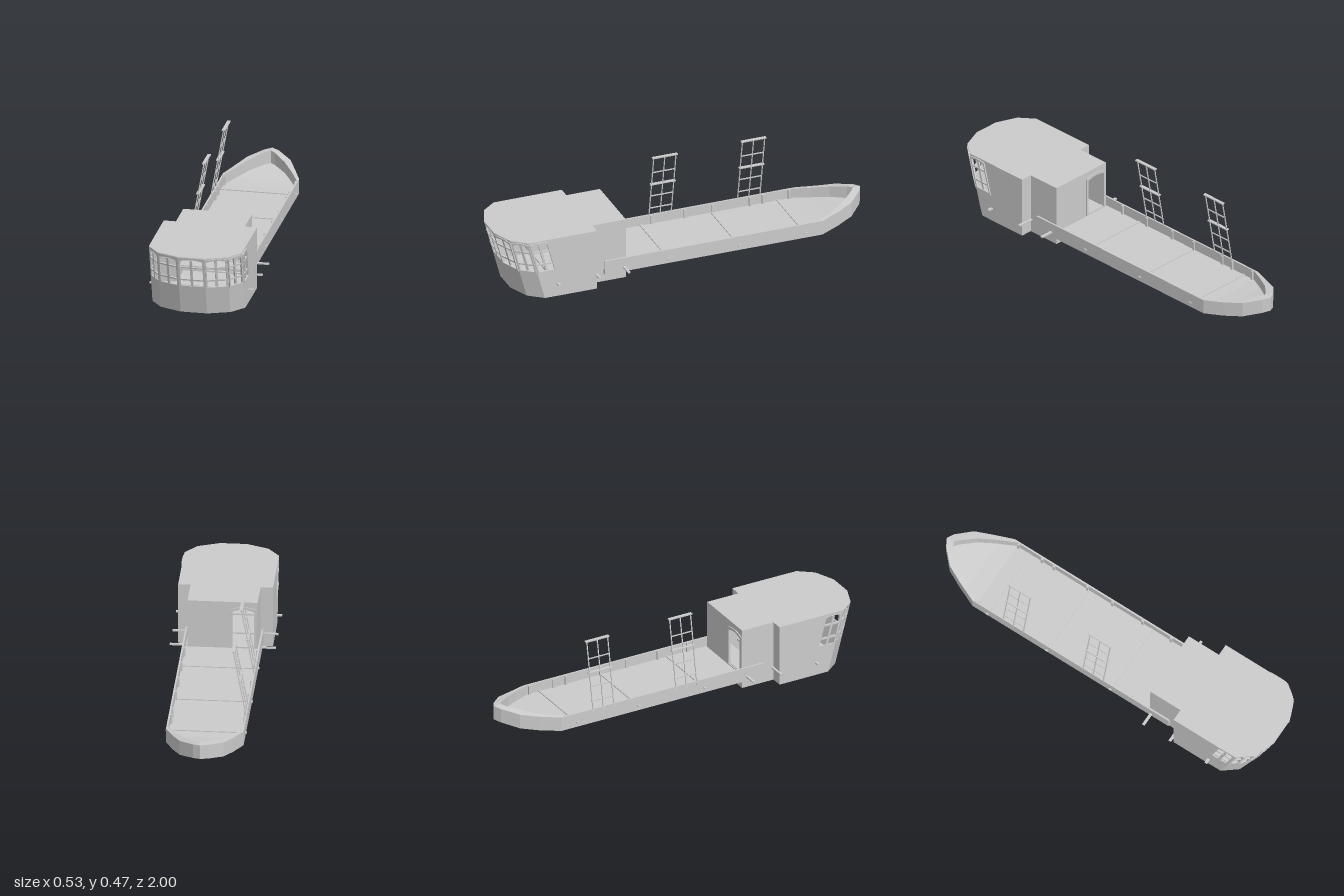
import * as THREE from 'three';

const mat = new THREE.MeshStandardMaterial({ color: 0xcccccc, flatShading: true, side: THREE.DoubleSide });
const H = 0.325;      // cabin height
const LEAN = 0.088;   // how far the front overhangs its foot

// Cabin plan at roof level: [x, z, lean of the foot]; one side, mirrored for the other
const side = [[0.068, 0.997, LEAN], [0.178, 0.953, LEAN], [0.237, 0.878, LEAN], [0.238, 0.775, LEAN],
  [0.238, 0.51, 0], [0.176, 0.51, 0], [0.176, 0.33, 0]];
const plan = [...side, ...side.map(([x, z, l]) => [-x, z, l]).reverse()];

function add(parent, name, geo, x = 0, y = 0, z = 0) {
  const m = new THREE.Mesh(geo, mat);
  m.name = name;
  m.position.set(x, y, z);
  parent.add(m);
  return m;
}

const rect = (u0, u1, v0, v1) => new THREE.Shape([[u0, v0], [u1, v0], [u1, v1], [u0, v1]].map(p => new THREE.Vector2(...p)));

// Opening with a shallow curved head
function arch(u0, u1, v0, v1, rise) {
  const s = new THREE.Shape();
  s.moveTo(u0, v0);
  s.lineTo(u1, v0);
  s.lineTo(u1, v1 - rise);
  s.quadraticCurveTo((u0 + u1) / 2, v1 + rise, u0, v1 - rise);
  s.closePath();
  return s;
}

// Lay a flat shape on the leaning wall between plan points p and q, from depth d0 to d1 (outward)
function plate(p, q, shape, d0, d1) {
  const geo = new THREE.ExtrudeGeometry(shape, { depth: d1 - d0, bevelEnabled: false, curveSegments: 6 });
  const w = Math.hypot(q[0] - p[0], q[1] - p[1]);
  const tx = (q[0] - p[0]) / w, tz = (q[1] - p[1]) / w;
  const pos = geo.attributes.position;
  for (let i = 0; i < pos.count; i++) {
    const u = pos.getX(i), v = pos.getY(i), d = pos.getZ(i) + d0;
    const lean = (p[2] + (q[2] - p[2]) * u / w) * (1 - v / H);
    pos.setXYZ(i, p[0] + tx * u - tz * d, v, p[1] + tz * u + tx * d - lean);
  }
  geo.computeVertexNormals();
  return geo;
}

// Horizontal slab from a plan outline
function slab(points, y, h) {
  const s = new THREE.Shape(points.map(([x, z]) => new THREE.Vector2(x, -z)));
  return new THREE.ExtrudeGeometry(s, { depth: h, bevelEnabled: false }).rotateX(-Math.PI / 2).translate(0, y, 0);
}

function buildCabin() {
  const g = new THREE.Group();
  g.name = 'cabin';
  add(g, 'roof', slab(plan, H - 0.006, 0.006));
  add(g, 'cabinFloor', slab(plan.map(([x, z, l]) => [x, z - l]), 0, 0.005));

  plan.forEach((q, i) => {
    const p = plan[(i + plan.length - 1) % plan.length];
    const w = Math.hypot(q[0] - p[0], q[1] - p[1]);
    const wall = rect(0, w, 0, H);
    const hasWindow = p[2] > 0 && q[2] > 0;
    const isBack = p[1] < 0.4 && q[1] < 0.4;

    if (hasWindow) {
      const a = 0.01, b = w - 0.01, m = w / 2;
      wall.holes.push(arch(a, b, 0.155, 0.31, 0.008));
      // glazing bars
      add(g, 'windowPost', plate(p, q, rect(m - 0.006, m + 0.006, 0.157, 0.308), -0.008, 0.002));
      for (const v of [0.193, 0.264])
        add(g, 'windowRail', plate(p, q, rect(a, b, v - 0.004, v + 0.004), -0.007, 0.003));
      // raised surrounds on the left side
      if (p[0] > 0) {
        const frame = arch(0.002, w - 0.002, 0.145, 0.318, 0.006);
        frame.holes.push(arch(a, b, 0.155, 0.31, 0.008));
        add(g, 'windowFrame', plate(p, q, frame, 0, 0.006));
      }
    }
    if (isBack) {
      // open doorway with surround
      wall.holes.push(arch(0.225, 0.335, 0.075, 0.285, 0.012));
      const frame = arch(0.212, 0.348, 0.075, 0.298, 0.012);
      frame.holes.push(arch(0.225, 0.335, 0.08, 0.285, 0.012));
      add(g, 'doorFrame', plate(p, q, frame, 0, 0.005));
    }
    add(g, 'cabinWall', plate(p, q, wall, -0.006, 0));
  });
  return g;
}

// Hull lofted from trough-shaped sections
function hullGeometry() {
  // outer z, outer half width, inner z, inner half width, keel y, rail y, deck y
  const stations = [
    [0.45, 0.195, 0.45, 0.186, 0.045, 0.12, 0.07],
    [-0.72, 0.195, -0.7, 0.186, 0.045, 0.121, 0.07],
    [-0.82, 0.153, -0.79, 0.14, 0.055, 0.132, 0.078],
    [-0.91, 0.11, -0.87, 0.09, 0.07, 0.147, 0.09],
    [-0.98, 0.037, -0.94, 0.027, 0.089, 0.165, 0.1],
    [-1, 0, -0.96, 0, 0.095, 0.17, 0.103],
  ];
  const rings = stations.map(([z, w, zi, wi, b, t, d]) => [
    [-w, b, z], [w, b, z], [w, t, z], [wi, t, zi], [wi, d, zi], [-wi, d, zi], [-wi, t, zi], [-w, t, z]]);
  const v = [];
  const quad = (a, b, c, d) => v.push(...a, ...b, ...c, ...a, ...c, ...d);
  for (let k = 0; k + 1 < rings.length; k++) {
    const A = rings[k], B = rings[k + 1];
    for (let i = 0; i < 8; i++) {
      const j = (i + 1) % 8;
      quad(A[i], B[i], B[j], A[j]);
    }
  }
  const S = rings[0];
  quad(S[0], S[1], S[4], S[5]);
  quad(S[1], S[2], S[3], S[4]);
  quad(S[0], S[5], S[6], S[7]);
  const geo = new THREE.BufferGeometry();
  geo.setAttribute('position', new THREE.Float32BufferAttribute(v, 3));
  geo.computeVertexNormals();
  return geo;
}

// Leaning ladder frame: three uprights, rungs and two wider planks
function buildLadder(z) {
  const g = new THREE.Group();
  g.name = 'ladder';
  const y0 = 0.1, y1 = 0.47, x0 = -0.195, x1 = -0.127;
  const len = Math.hypot(x1 - x0, y1 - y0), tilt = -Math.atan2(x1 - x0, y1 - y0);
  const xAt = y => x0 + (x1 - x0) * (y - y0) / (y1 - y0);
  for (const dz of [-0.06, 0, 0.06])
    add(g, 'ladderUpright', new THREE.BoxGeometry(0.005, len, 0.005), (x0 + x1) / 2, (y0 + y1) / 2, dz).rotation.z = tilt;
  for (const y of [0.16, 0.235, 0.38])
    add(g, 'ladderRung', new THREE.BoxGeometry(0.005, 0.005, 0.125), xAt(y), y, 0);
  for (const y of [0.308, 0.471])
    add(g, 'ladderPlank', new THREE.BoxGeometry(0.017, 0.006, 0.135), xAt(y), y, 0);
  g.position.z = z;
  return g;
}

export function createModel() {
  const model = new THREE.Group();
  model.name = 'barge';
  model.add(buildCabin());
  add(model, 'hull', hullGeometry());

  // Cross beams whose ends show outside the hull
  for (const [z, half] of [[0.72, 0.266], [0.505, 0.266], [0.347, 0.266], [0.105, 0.203], [-0.275, 0.203], [-0.63, 0.203]])
    add(model, 'crossBeam', new THREE.BoxGeometry(2 * half, 0.007, 0.014), 0, 0.071, z);

  // Ribs inside the bulwarks
  for (const z of [0.22, 0.05, -0.13, -0.28, -0.48, -0.55, -0.69])
    for (const s of [-1, 1])
      add(model, 'rib', new THREE.BoxGeometry(0.01, 0.076, 0.012), s * 0.182, 0.08, z);

  for (const z of [0, -0.477]) model.add(buildLadder(z));
  return model;
}
